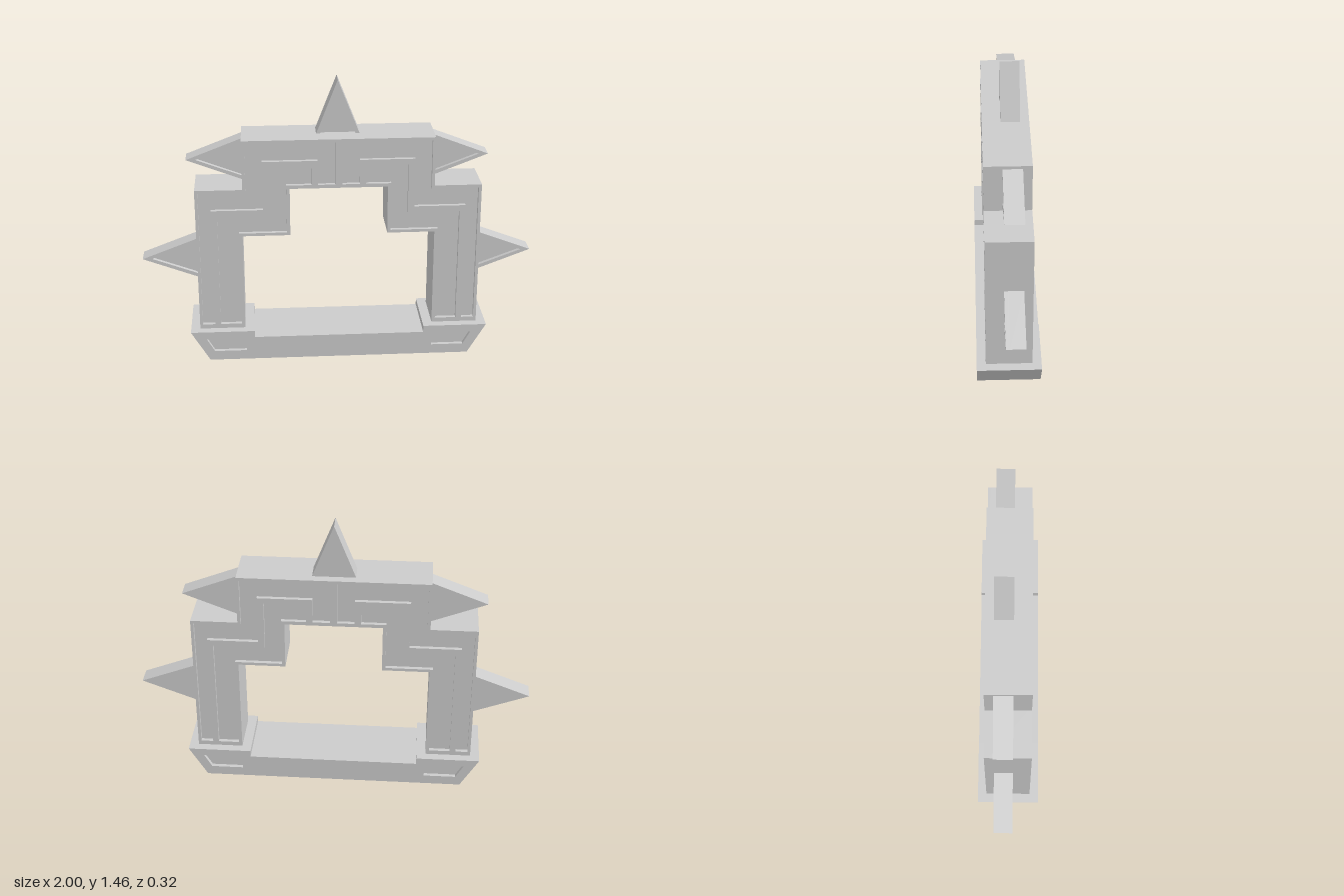
import * as THREE from 'three';

const RECESS = 0.02;

export function createModel() {
  const root = new THREE.Group();
  const material = new THREE.MeshStandardMaterial({ color: 0xcccccc, flatShading: true });

  const toPoints = (pts) => pts.map(([x, y]) => new THREE.Vector2(x, y));
  const mirror = (pts) => pts.map(([x, y]) => [-x, y]).reverse();
  const symmetric = (half) => [...half, ...mirror(half)];

  // Flat slab between z0 and z1, with optional holes
  function slab(name, outline, z0, z1, holes = []) {
    const shape = new THREE.Shape(toPoints(outline));
    shape.holes = holes.map((h) => new THREE.Path(toPoints(h)));
    const geo = new THREE.ExtrudeGeometry(shape, { depth: z1 - z0, bevelEnabled: false });
    geo.translate(0, 0, z0);
    const mesh = new THREE.Mesh(geo, material);
    mesh.name = name;
    return mesh;
  }

  // Solid core with a pierced face layer on front and back
  function panelled(name, outline, halfDepth, panels) {
    const group = new THREE.Group();
    group.name = name;
    const inner = halfDepth - RECESS;
    const holes = [...panels, ...panels.map(mirror)];
    group.add(
      slab(name + 'Core', outline, -inner, inner),
      slab(name + 'FrontFace', outline, inner, halfDepth, holes),
      slab(name + 'BackFace', outline, -halfDepth, -inner, holes)
    );
    return group;
  }

  // Base with raised ends and slanted sides
  const base = symmetric([[0.67, 0], [0.765, 0.16], [0.437, 0.16], [0.437, 0.125]]);
  const basePanel = [[0.48, 0.05], [0.645, 0.05], [0.685, 0.12], [0.48, 0.12]];
  root.add(panelled('base', base, 0.16, [basePanel]));

  // Stepped arch with two stepped channels on each half
  const arch = symmetric([
    [0.485, 0.16], [0.718, 0.16], [0.718, 0.925], [0.48, 0.925], [0.48, 1.18],
  ]).concat([
    [-0.485, 0.675], [-0.245, 0.675], [-0.245, 0.925],
    [0.245, 0.925], [0.245, 0.675], [0.485, 0.675],
  ]);
  const outerChannel = [
    [0.64, 0.183], [0.703, 0.183], [0.703, 0.91], [0.465, 0.91], [0.465, 1.163], [0.018, 1.163],
    [0.018, 0.943], [0.105, 0.943], [0.105, 1.07], [0.38, 1.07], [0.38, 0.815], [0.64, 0.815],
  ];
  const innerChannel = [
    [0.502, 0.183], [0.61, 0.183], [0.61, 0.783], [0.347, 0.783], [0.347, 1.04], [0.137, 1.04],
    [0.137, 0.943], [0.262, 0.943], [0.262, 0.69], [0.502, 0.69],
  ];
  root.add(panelled('arch', arch, 0.115, [outerChannel, innerChannel]));

  // Spikes: a wedge with a raised V rim on the front only
  function spike(name, x, y, angle, height) {
    const w = 0.108, wi = 0.088, hi = height - 0.048;
    const group = new THREE.Group();
    group.name = name;
    group.add(
      slab(name + 'Body', [[-w, 0], [w, 0], [0, height]], -0.07, 0.025 - RECESS),
      slab(name + 'Rim', [[wi, 0], [w, 0], [0, height], [-w, 0], [-wi, 0], [0, hi]], 0.025 - RECESS, 0.025)
    );
    group.position.set(x, y, 0);
    group.rotation.z = angle;
    root.add(group);
  }
  spike('topSpike', 0, 1.18, 0, 0.275);
  for (const [side, s] of [['left', 1], ['right', -1]]) {
    spike(side + 'UpperSpike', s * 0.48, 1.056, -s * Math.PI / 2, 0.278);
    spike(side + 'LowerSpike', s * 0.718, 0.522, -s * Math.PI / 2, 0.282);
  }
  return root;
}
